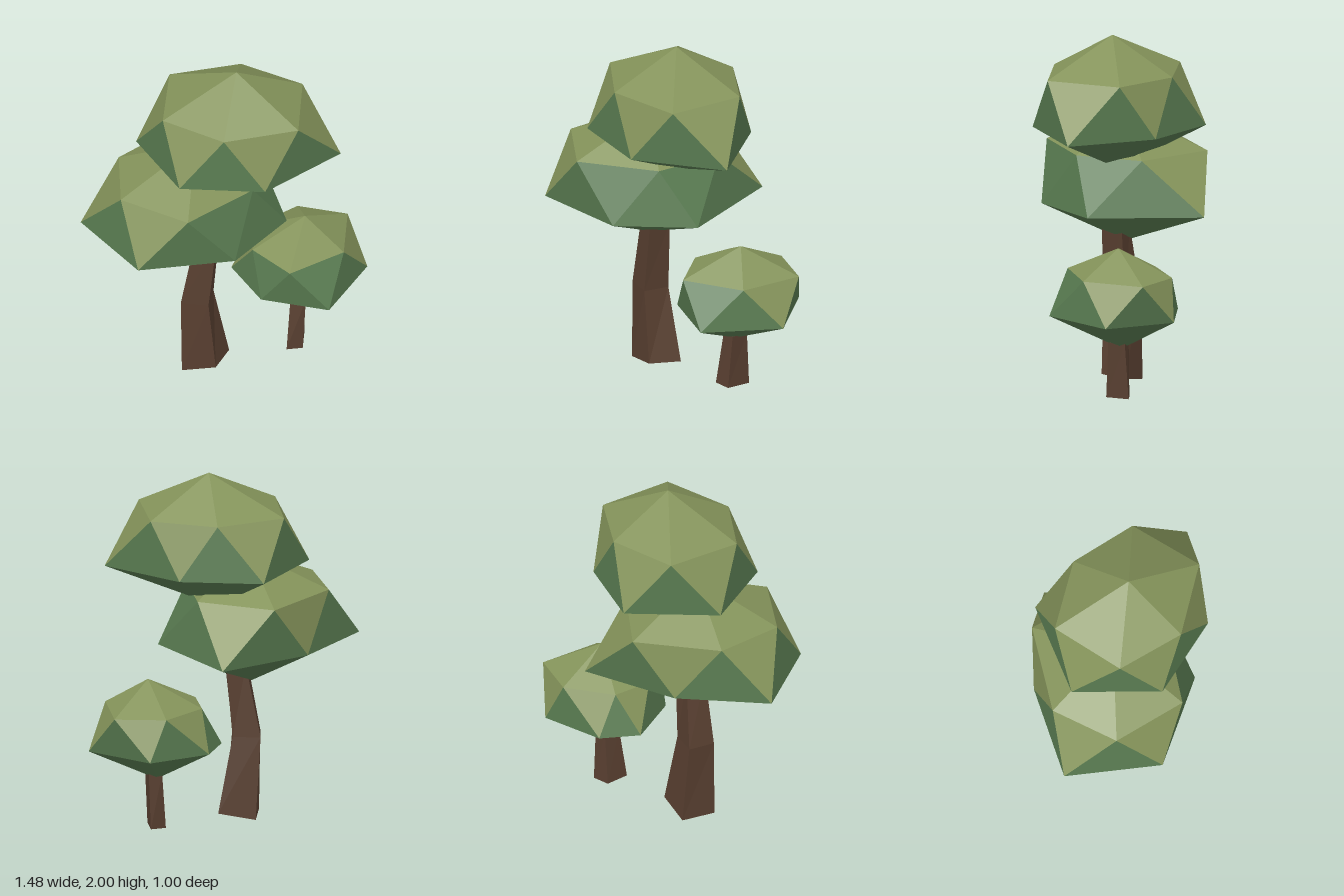
import * as THREE from 'three';

const leafLight = new THREE.MeshStandardMaterial({ color: 0x84935a, flatShading: true });
leafLight.name = 'olive leaf';
const leafDark = new THREE.MeshStandardMaterial({ color: 0x587a50, flatShading: true });
leafDark.name = 'green leaf';
const bark = new THREE.MeshStandardMaterial({ color: 0x583f30, flatShading: true });
bark.name = 'brown bark';

// Flat-faced mesh from a list of [a, b, c] corner triples
function facetMesh(name, triangles, material) {
  const geometry = new THREE.BufferGeometry();
  geometry.setAttribute('position', new THREE.Float32BufferAttribute(triangles.flat(2), 3));
  geometry.computeVertexNormals();
  const mesh = new THREE.Mesh(geometry, material);
  mesh.name = name;
  return mesh;
}

// Faceted crown: a tip, two staggered rings of [x, z] corners and a bottom point
function crown(name, { tip, upperY, upper, lowerY, lower, bottom, darkBand = [] }) {
  const n = upper.length;
  const u = upper.map(([x, z]) => [x, upperY, z]);
  const l = lower.map(([x, z]) => [x, lowerY, z]);
  const light = [], dark = [];
  for (let i = 0; i < n; i++) {
    const j = (i + 1) % n;
    light.push([u[j], u[i], tip]);
    (darkBand.includes(i) ? dark : light).push([u[i], u[j], l[i]]);
    dark.push([l[i], u[j], l[j]], [l[i], l[j], bottom]);
  }
  const group = new THREE.Group();
  group.name = name;
  group.add(facetMesh(name + 'Top', light, leafLight), facetMesh(name + 'Underside', dark, leafDark));
  return group;
}

// Four-sided trunk: rings of corners (right, front, left, back), base first
function trunk(name, rings) {
  const tris = [];
  for (let k = 0; k < rings.length - 1; k++) {
    const a = rings[k], b = rings[k + 1];
    for (let i = 0; i < 4; i++) {
      const j = (i + 1) % 4;
      tris.push([a[j], a[i], b[i]], [a[j], b[i], b[j]]);
    }
  }
  const base = rings[0], top = rings[rings.length - 1];
  tris.push([base[0], base[1], base[2]], [base[0], base[2], base[3]]);
  tris.push([top[2], top[1], top[0]], [top[3], top[2], top[0]]);
  return facetMesh(name, tris, bark);
}

export function createModel() {
  const model = new THREE.Group();
  model.name = 'trees';

  // Tall tree with a bent trunk and two stacked crowns
  const tall = new THREE.Group();
  tall.name = 'tallTree';
  tall.add(
    trunk('tallTrunk', [
      [[0, 0.04, -0.02], [-0.155, 0.04, 0.07], [-0.3, 0.01, -0.05], [-0.15, 0, -0.165]],
      [[-0.085, 0.47, -0.05], [-0.19, 0.47, 0.05], [-0.3, 0.47, -0.06], [-0.19, 0.47, -0.165]],
      [[-0.065, 0.88, -0.02], [-0.15, 0.88, 0.07], [-0.235, 0.88, -0.02], [-0.15, 0.88, -0.09]],
    ]),
    crown('middleCrown', {
      tip: [-0.2, 1.53, -0.06], bottom: [-0.21, 0.78, -0.08],
      upperY: 1.32,
      upper: [[0.21, -0.06], [-0.03, 0.25], [-0.5, 0.29], [-0.68, -0.1], [-0.46, -0.43], [0.04, -0.485]],
      lowerY: 1.01,
      lower: [[0.2, 0.25], [-0.25, 0.39], [-0.74, 0.15], [-0.74, -0.4], [-0.21, -0.505], [0.35, -0.38]],
      darkBand: [0, 1],
    }),
    crown('upperCrown', {
      tip: [0, 2, 0.05], bottom: [-0.02, 1.235, 0.01],
      upperY: 1.79,
      upper: [[0.4, 0.12], [0.13, 0.46], [-0.27, 0.31], [-0.43, -0.05], [-0.15, -0.38], [0.23, -0.23]],
      lowerY: 1.48,
      lower: [[0.44, 0.43], [-0.11, 0.48], [-0.48, 0.18], [-0.42, -0.32], [0.1, -0.46], [0.39, -0.09]],
    }),
  );

  // Small tree beside it
  const small = new THREE.Group();
  small.name = 'smallTree';
  small.add(
    trunk('smallTrunk', [
      [[0.44, 0.025, 0.08], [0.355, 0.025, 0.185], [0.27, 0.03, 0.15], [0.35, 0.02, 0.05]],
      [[0.435, 0.34, 0.1], [0.38, 0.34, 0.18], [0.31, 0.34, 0.13], [0.37, 0.34, 0.06]],
    ]),
    crown('smallCrown', {
      tip: [0.41, 0.88, 0.13], bottom: [0.37, 0.3, 0.1],
      upperY: 0.725,
      upper: [[0.735, 0.08], [0.51, 0.36], [0.15, 0.35], [0.11, 0.05], [0.25, -0.13], [0.55, -0.14]],
      lowerY: 0.495,
      lower: [[0.72, 0.29], [0.31, 0.5], [0.06, 0.2], [0.1, -0.14], [0.31, -0.24], [0.66, -0.12]],
      darkBand: [1, 2],
    }),
  );

  model.add(tall, small);
  return model;
}
